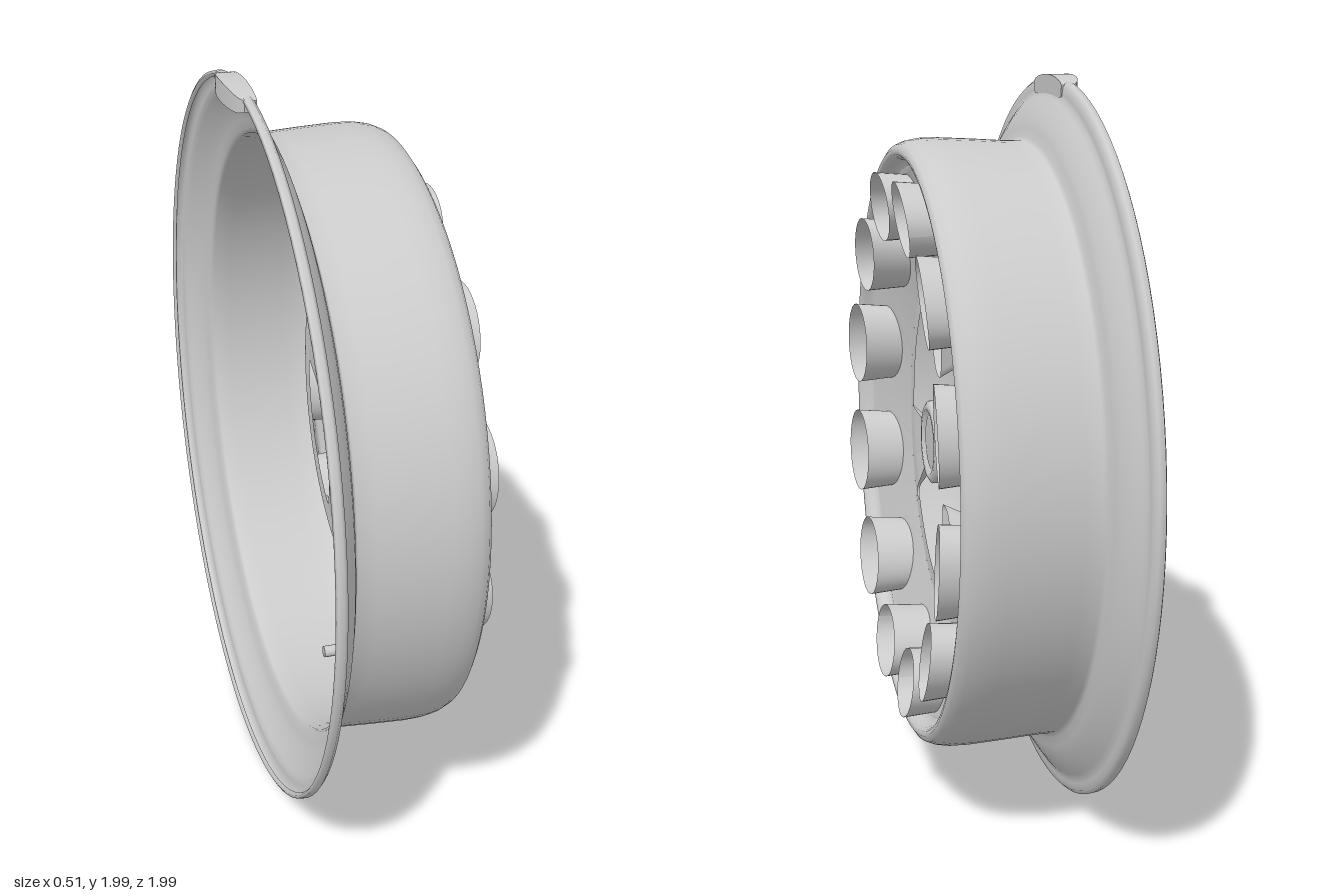
import * as THREE from 'three';
import { mergeGeometries, mergeVertices } from 'three/addons/utils/BufferGeometryUtils.js';

const mat = new THREE.MeshStandardMaterial({ color: 0xcccccc, side: THREE.DoubleSide });

export function createModel() {
  const root = new THREE.Group();
  // The wheel is built facing +z, then turned so its axle runs along +x
  const wheel = new THREE.Group();
  wheel.name = 'wheel';
  wheel.rotation.y = Math.PI / 2;
  wheel.position.y = 1;
  root.add(wheel);

  const add = (name, geo, parent = wheel) => {
    const m = new THREE.Mesh(geo, mat);
    m.name = name;
    parent.add(m);
    return m;
  };
  const V = (x, y) => new THREE.Vector2(x, y);
  const polar = (r, a) => V(r * Math.cos(a), r * Math.sin(a));
  // Lathe around the axle; profile points are [radius, depth]
  const turned = (pts, seg = 96) =>
    new THREE.LatheGeometry(pts.map(p => V(...p)), seg).rotateX(Math.PI / 2);

  // Rim barrel: flange edge, dished flange, barrel wall, rolled front lip meeting the disc
  add('rimBarrel', turned([
    [0.978, -0.218], [0.985, -0.228], [0.993, -0.224], [0.995, -0.208], [0.985, -0.198],
    [0.965, -0.196], [0.952, -0.195], [0.94, -0.186], [0.915, -0.169], [0.885, -0.152],
    [0.86, -0.143], [0.835, -0.137], [0.824, -0.128], [0.825, -0.08], [0.83, 0], [0.835, 0.1],
    [0.834, 0.145], [0.828, 0.179], [0.818, 0.202], [0.803, 0.212], [0.79, 0.209],
    [0.782, 0.196], [0.778, 0.183], [0.77, 0.173], [0.76, 0.168],
  ]));

  // Depth of the dished disc: sloping between the vents, flat at the opening, spokes bent back
  const openR = 0.46, flatR = 0.51, discR = 0.76, faceZ = 0.092;
  const depth = r => r > flatR ? faceZ + 0.076 * (r - flatR) / (discR - flatR)
    : faceZ - 0.045 * Math.max(0, openR - r) / 0.28;
  const dished = geo => {
    const p = geo.attributes.position;
    for (let i = 0; i < p.count; i++) p.setZ(i, depth(Math.hypot(p.getX(i), p.getY(i))));
    geo.computeVertexNormals();
    return geo;
  };

  // Flat band around the central opening
  add('discInnerBand', dished(new THREE.RingGeometry(openR, flatR, 96)));

  // Four pointed spokes, each a plate with a forward lip that is deepest at the tip
  const fillet = (prev, p, next, d, out) => {
    const a = p.clone().add(prev.clone().sub(p).setLength(d));
    const b = p.clone().add(next.clone().sub(p).setLength(d));
    out.push(...new THREE.QuadraticBezierCurve(a, p, b).getPoints(6));
  };
  const baseEnd = V(-0.237, 0.394).angle() + 0.08;
  const spokeEdge = corners => {
    const s = [...corners.map(p => V(...p)), polar(openR, baseEnd)];
    const edge = [s[0]];
    for (let i = 1; i < 4; i++) fillet(s[i - 1], s[i], s[i + 1], 0.028, edge);
    edge.push(s[4]);
    return edge;
  };
  const lip = spokeEdge([[0.005, 0.46], [-0.008, 0.172], [-0.08, 0.182], [-0.237, 0.394]]);
  const plate = spokeEdge([[0.003, 0.46], [-0.028, 0.192], [-0.083, 0.198], [-0.237, 0.394]]);
  const pos = [], idx = [];
  plate.forEach((p, i) => {
    pos.push(p.x, p.y, depth(p.length()), lip[i].x, lip[i].y, faceZ + 0.006);
    if (i) idx.push(2 * i - 2, 2 * i, 2 * i - 1, 2 * i - 1, 2 * i, 2 * i + 1);
  });
  const lipGeo = new THREE.BufferGeometry();
  lipGeo.setAttribute('position', new THREE.Float32BufferAttribute(pos, 3));
  lipGeo.setIndex(idx);
  lipGeo.computeVertexNormals();
  const base = [];
  for (let i = 1; i < 12; i++) base.push(polar(openR, baseEnd + (Math.PI / 2 - baseEnd) * i / 12));
  const plateGeo = dished(new THREE.ShapeGeometry(new THREE.Shape([...plate, ...base])));
  for (let k = 0; k < 4; k++) {
    const spoke = new THREE.Group();
    spoke.name = 'spoke';
    spoke.rotation.z = k * Math.PI / 2;
    wheel.add(spoke);
    add('spokePlate', plateGeo, spoke);
    add('spokeLip', lipGeo, spoke);
  }

  // Sloping outer ring of the disc, made of twelve sectors with an oval vent and collar each
  const ventR = 0.66, ventA = 0.094, ventB = 0.126, taper = 0.93;
  const half = Math.PI / 12;
  const sector = new THREE.Shape()
    .absarc(0, 0, discR, -half, half, false)
    .absarc(0, 0, flatR, half, -half, true);
  sector.holes.push(new THREE.Path().absellipse(ventR, 0, ventA * taper, ventB * taper, 0, Math.PI * 2));
  const sectorGeo = new THREE.ShapeGeometry(sector, 20);
  sectorGeo.deleteAttribute('uv');
  sectorGeo.deleteAttribute('normal');

  const collarGeo = new THREE.CylinderGeometry(1, taper, 1, 40, 1, true).rotateX(Math.PI / 2)
    .scale(ventA, ventB, 1).translate(ventR, 0, 0);
  const cp = collarGeo.attributes.position;
  for (let j = 0; j < cp.count; j++) {
    const x = cp.getX(j);
    cp.setZ(j, cp.getZ(j) > 0 ? 0.237 + 0.15 * (x - ventR) : depth(Math.hypot(x, cp.getY(j))));
  }
  collarGeo.computeVertexNormals();

  const sectors = [];
  for (let i = 0; i < 12; i++) {
    const a = (2 * i + 1) * half;
    sectors.push(sectorGeo.clone().rotateZ(a));
    add('ventCollar', collarGeo).rotation.z = a;
  }
  add('discVentRing', dished(mergeVertices(mergeGeometries(sectors))));

  // Hub cap with a raised ring on both faces
  const hubHalf = [[0, 0.008], [0.074, 0.008], [0.082, 0.005], [0.09, 0.016], [0.102, 0.016], [0.115, 0.008]];
  add('hubCap', turned([
    ...hubHalf.map(([r, z]) => [r, 0.122 - z]),
    ...hubHalf.map(([r, z]) => [r, 0.122 + z]).reverse(),
  ], 48));

  // Tyre valve: bent stem inside the barrel, small nut outside
  const valve = new THREE.Group();
  valve.name = 'tyreValve';
  wheel.add(valve);
  const stem = new THREE.CatmullRomCurve3([
    [-0.83, 0.15], [-0.78, 0.148], [-0.758, 0.135], [-0.75, 0.11], [-0.748, 0.01],
  ].map(([y, z]) => new THREE.Vector3(-0.012, y, z)));
  add('valveStem', new THREE.TubeGeometry(stem, 24, 0.017, 12), valve);
  add('valveTip', new THREE.CircleGeometry(0.017, 12).translate(-0.012, -0.748, 0.01), valve);
  add('valveBase', new THREE.CylinderGeometry(0.022, 0.03, 0.025, 16).translate(-0.012, -0.813, 0.15), valve);
  add('valveNut', new THREE.CylinderGeometry(0.025, 0.02, 0.03, 16).translate(-0.012, -0.838, 0.15), valve);

  // Balance weight: a crescent clipped over the flange edge
  const weight = new THREE.BoxGeometry(1, 1, 1, 24, 3, 3);
  const wp = weight.attributes.position;
  for (let i = 0; i < wp.count; i++) {
    const t = wp.getX(i) * 2, bulge = Math.sqrt(Math.max(0, 1 - t * t));
    const p = polar(0.973 + wp.getY(i) * (0.03 + 0.024 * bulge), Math.PI / 2 - 0.015 - t * 0.145);
    wp.setXYZ(i, p.x, p.y, -0.193 + (wp.getZ(i) - 0.5) * (0.032 + 0.032 * bulge));
  }
  weight.computeVertexNormals();
  add('balanceWeight', weight);

  return root;
}
